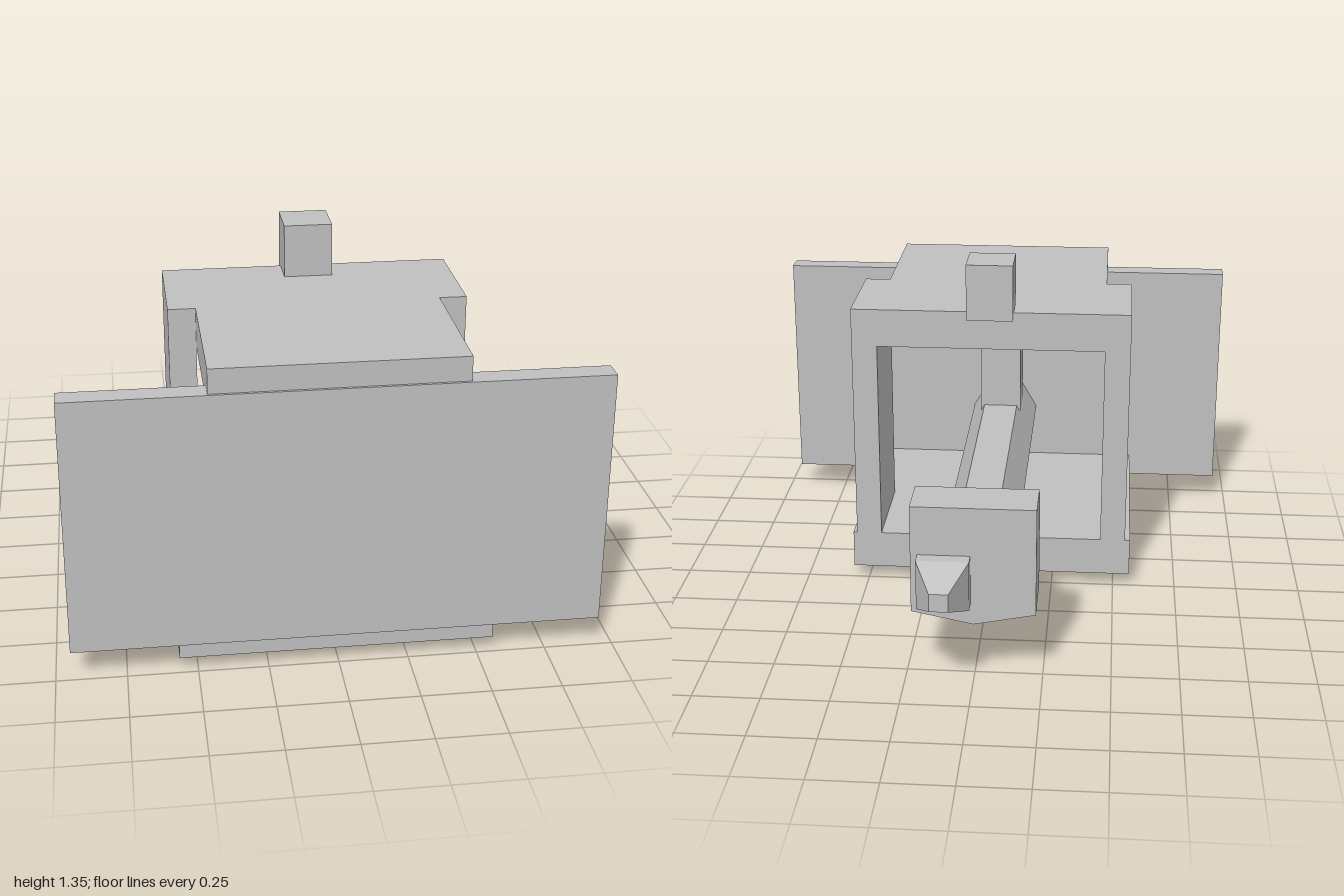
import * as THREE from 'three';

const grey = new THREE.MeshStandardMaterial({ color: 0xc0c0c0, flatShading: true });
grey.name = 'plain grey';

// Box given by its limits on each axis
function box(name, x0, x1, y0, y1, z0, z1) {
  const mesh = new THREE.Mesh(new THREE.BoxGeometry(x1 - x0, y1 - y0, z1 - z0), grey);
  mesh.position.set((x0 + x1) / 2, (y0 + y1) / 2, (z0 + z1) / 2);
  mesh.name = name;
  return mesh;
}

// Closed faceted solid through rings that run from front to back (counter-clockwise seen from the front)
function loft(name, rings) {
  const positions = [];
  const tri = (a, b, c) => {
    if (new THREE.Triangle(a, b, c).getArea() > 1e-7) {
      for (const p of [a, b, c]) positions.push(p.x, p.y, p.z);
    }
  };
  const n = rings[0].length;
  for (let r = 0; r < rings.length - 1; r++) {
    const a = rings[r], b = rings[r + 1];
    for (let i = 0; i < n; i++) {
      const j = (i + 1) % n;
      tri(a[i], b[i], b[j]);
      tri(a[i], b[j], a[j]);
    }
  }
  const front = rings[0], back = rings[rings.length - 1];
  for (let i = 1; i < n - 1; i++) {
    tri(front[0], front[i], front[i + 1]);
    tri(back[0], back[i + 1], back[i]);
  }
  const geometry = new THREE.BufferGeometry();
  geometry.setAttribute('position', new THREE.Float32BufferAttribute(positions, 3));
  geometry.computeVertexNormals();
  const mesh = new THREE.Mesh(geometry, grey);
  mesh.name = name;
  return mesh;
}

const V = (x, y, z) => new THREE.Vector3(x, y, z);

// Head section: flat top, upright sides, shallow V underneath
const headRing = ([z, w, top, side, keel]) =>
  [V(w, side, z), V(w, top, z), V(-w, top, z), V(-w, side, z), V(0, keel, z)];

// Square section of the tip
const tipRing = ([z, h]) => {
  const x = 0.105, y = 0.405;
  return [V(x + h, y - h, z), V(x + h, y + h, z), V(x - h, y + h, z), V(x - h, y - h, z)];
};

export function createModel() {
  const model = new THREE.Group();
  model.name = 'model';

  // Housing
  model.add(
    box('frontPlate', -0.945, 0.945, 0.11, 1.06, 0.915, 1),
    box('basePlate', -0.565, 0.56, 0.05, 0.2, 0, 0.985),
    box('topPlate', -0.445, 0.445, 1, 1.15, 0, 0.99),
    box('leftWall', 0.445, 0.545, 0.2, 1.15, 0, 0.425),
    box('rightWall', -0.545, -0.445, 0.2, 1.15, 0, 0.425),
    box('innerPost', -0.085, 0.085, 0.2, 1, 0.59, 0.77)
  );

  // Pivot blocks above and below
  model.add(
    box('topPivot', -0.09, 0.09, 1.13, 1.35, -0.05, 0.13),
    box('bottomPivot', -0.09, 0.09, 0, 0.175, -0.05, 0.13)
  );

  // Six-sided shaft with flats above and below
  const rodGeometry = new THREE.CylinderGeometry(0.139, 0.139, 1.38, 6);
  rodGeometry.rotateY(Math.PI / 6);
  rodGeometry.rotateX(Math.PI / 2);
  const box3 = new THREE.Box3().setFromBufferAttribute(rodGeometry.attributes.position);
  if (box3.max.y > box3.max.x) rodGeometry.rotateZ(Math.PI / 6);
  const rod = new THREE.Mesh(rodGeometry, grey);
  rod.position.set(0, 0.428, 0.23);
  rod.name = 'shaft';
  model.add(rod);

  // Stepped head: z, half width, top, side bottom, keel
  model.add(loft('head', [
    [-0.39, 0.12, 0.555, 0.305, 0.3],
    [-0.575, 0.225, 0.555, 0.275, 0.23],
    [-0.575, 0.225, 0.625, 0.275, 0.23],
    [-0.63, 0.225, 0.685, 0.275, 0.23],
    [-0.815, 0.225, 0.685, 0.275, 0.23],
  ].map(headRing)));

  // Off-centre tip: z, half size
  model.add(loft('tip', [[-0.8, 0.095], [-0.865, 0.095], [-1, 0.034]].map(tipRing)));

  return model;
}
